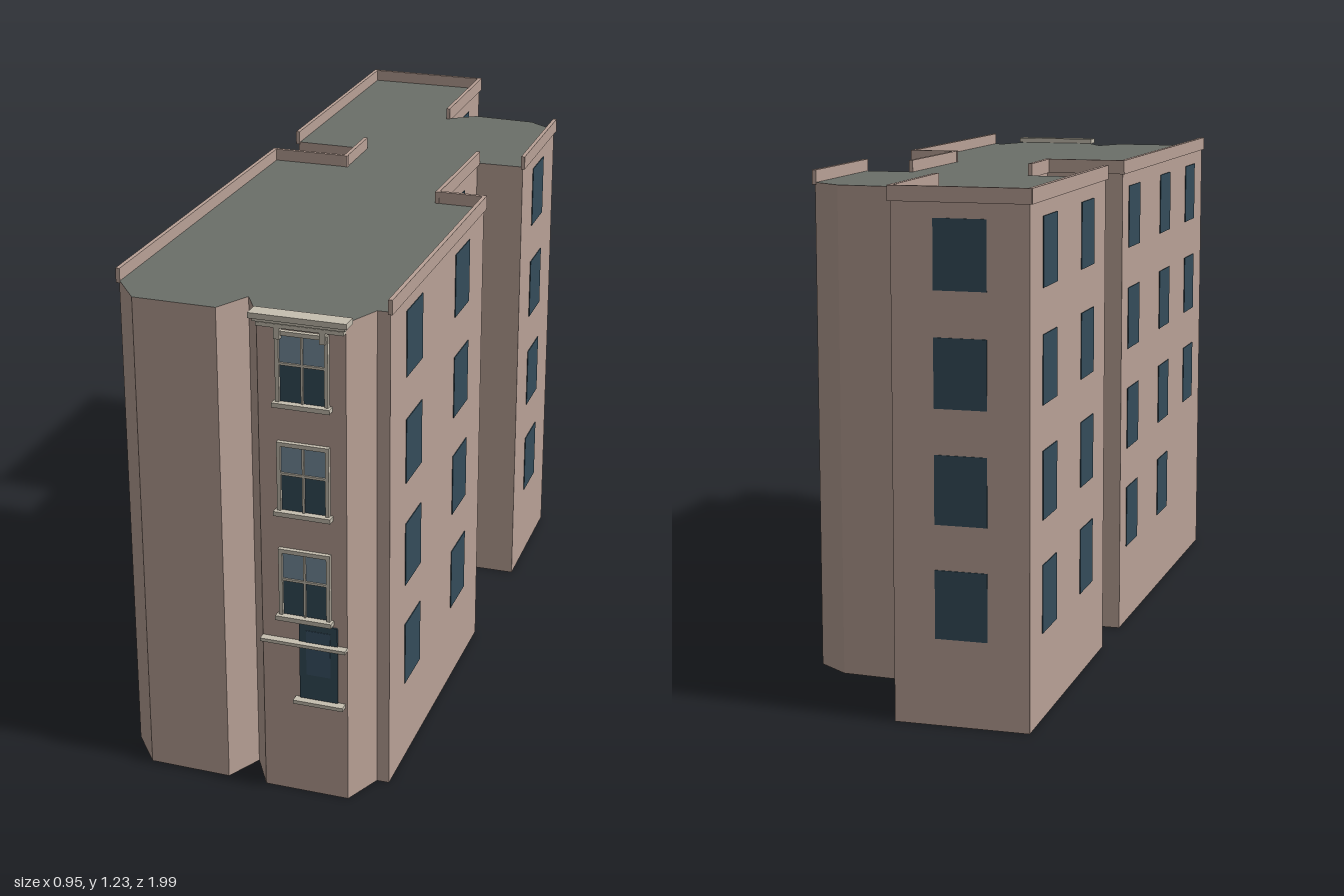
import * as THREE from 'three';

const ROOF_Y = 1.2;
const mat = (color) => new THREE.MeshStandardMaterial({ color });

// Footprint corners [x, z], anticlockwise seen from above
const plan = [
  [-0.175, 0.915], [-0.09, 0.995], [0.11, 0.968], [0.14, 0.875], [0.205, 0.955], [0.41, 0.925],
  [0.435, 0.825], [0.465, 0.82], [0.34, 0.053], [0.22, 0.07], [0.165, -0.29], [0.288, -0.31],
  [0.222, -0.68], [0.135, -0.725], [-0.03, -0.71], [-0.09, -0.65], [-0.15, -0.993], [-0.468, -0.945],
  [-0.353, -0.25], [-0.16, -0.275], [-0.13, -0.105], [-0.327, -0.075],
];

// Walls that carry a parapet, and window positions along each wall (0..1)
const parapetWalls = [7, 8, 9, 11, 15, 16, 17, 19, 20, 21];
const windowWalls = {
  7: [0.235, 0.75], 9: [0.5], 11: [0.49], 15: [0.48], 16: [0.5],
  17: [0.24, 0.74], 20: [0.45], 21: [0.13, 0.5, 0.83],
};
const floors = [0.285, 0.55, 0.815, 1.08];

export function createModel() {
  const model = new THREE.Group();
  const wallMat = mat(0xb9a196);
  const roofMat = mat(0x6b6f69);
  const glassMat = mat(0x344c5a);
  const skyGlassMat = mat(0x7890a0);
  const trimMat = mat(0xc6bfb0);

  // Box spanning x0..x1, y0..y1, z0..z1 in its parent
  function block(parent, name, material, x0, x1, y0, y1, z0, z1) {
    const mesh = new THREE.Mesh(new THREE.BoxGeometry(x1 - x0, y1 - y0, z1 - z0), material);
    mesh.position.set((x0 + x1) / 2, (y0 + y1) / 2, (z0 + z1) / 2);
    mesh.name = name;
    parent.add(mesh);
  }

  // Group lying on wall i: x runs along the wall, z points outward
  function wallGroup(i, name) {
    const [ax, az] = plan[i];
    const [bx, bz] = plan[(i + 1) % plan.length];
    const group = new THREE.Group();
    group.name = name;
    group.position.set(ax, 0, az);
    group.rotation.y = Math.atan2(az - bz, bx - ax);
    group.userData.length = Math.hypot(bx - ax, bz - az);
    model.add(group);
    return group;
  }

  // Walls with flat roof
  const shape = new THREE.Shape(plan.map(([x, z]) => new THREE.Vector2(x, -z)));
  const bodyGeo = new THREE.ExtrudeGeometry(shape, { depth: ROOF_Y, bevelEnabled: false });
  bodyGeo.rotateX(-Math.PI / 2);
  const body = new THREE.Mesh(bodyGeo, [roofMat, wallMat]);
  body.name = 'wallsAndRoof';
  model.add(body);

  // Parapets
  for (const i of parapetWalls) {
    const g = wallGroup(i, 'parapet');
    block(g, 'parapetWall', wallMat, -0.005, g.userData.length + 0.005, 1.195, 1.23, -0.004, 0.006);
  }

  // Plain windows, floor by floor
  for (const [key, spots] of Object.entries(windowWalls)) {
    const g = wallGroup(Number(key), 'windows');
    spots.forEach((t, column) => floors.forEach((y, floor) => {
      if (key === '21' && column === 2 && floor === 0) return;
      const x = t * g.userData.length;
      block(g, 'window', glassMat, x - 0.062, x + 0.062, y - 0.08, y + 0.08, -0.002, 0.002);
    }));
  }

  // Decorated front bay
  const bay = wallGroup(4, 'frontBay');
  for (const y of [0.47, 0.735, 1.0]) {
    const x0 = 0.047, x1 = 0.167, top = y + 0.165, mid = y + 0.09, cx = (x0 + x1) / 2;
    block(bay, 'lowerSash', glassMat, x0, x1, y, mid, 0, 0.003);
    block(bay, 'upperSash', skyGlassMat, x0, x1, mid, top, 0, 0.004);
    block(bay, 'frameSide', trimMat, x0 - 0.002, x0 + 0.007, y, top, 0, 0.01);
    block(bay, 'frameSide', trimMat, x1 - 0.007, x1 + 0.002, y, top, 0, 0.01);
    block(bay, 'frameHead', trimMat, x0 - 0.002, x1 + 0.002, top - 0.007, top + 0.003, 0, 0.011);
    block(bay, 'mullion', trimMat, cx - 0.0025, cx + 0.0025, y, top, 0, 0.008);
    block(bay, 'meetingRail', trimMat, x0, x1, mid - 0.003, mid + 0.003, 0, 0.008);
    block(bay, 'sill', trimMat, x0 - 0.008, x1 + 0.008, y - 0.011, y, 0, 0.02);
  }

  // Ground floor window, sill and string course
  block(bay, 'groundWindow', glassMat, 0.091, 0.184, 0.255, 0.452, 0, 0.004);
  block(bay, 'groundWindowPane', mat(0x3a5468), 0.108, 0.167, 0.32, 0.435, 0, 0.005);
  block(bay, 'groundSill', trimMat, 0.08, 0.202, 0.247, 0.256, 0, 0.022);
  block(bay, 'stringCourse', trimMat, 0, 0.208, 0.397, 0.405, 0, 0.02);

  // Cornice on brackets
  block(bay, 'corniceTop', trimMat, -0.006, 0.222, 1.2, 1.213, -0.004, 0.038);
  block(bay, 'corniceMiddle', trimMat, 0, 0.214, 1.19, 1.2, 0, 0.026);
  block(bay, 'corniceLower', trimMat, 0.004, 0.208, 1.177, 1.186, 0, 0.018);
  for (const x of [0.052, 0.158]) {
    block(bay, 'bracket', trimMat, x - 0.007, x + 0.007, 1.15, 1.178, 0, 0.016);
  }

  return model;
}
